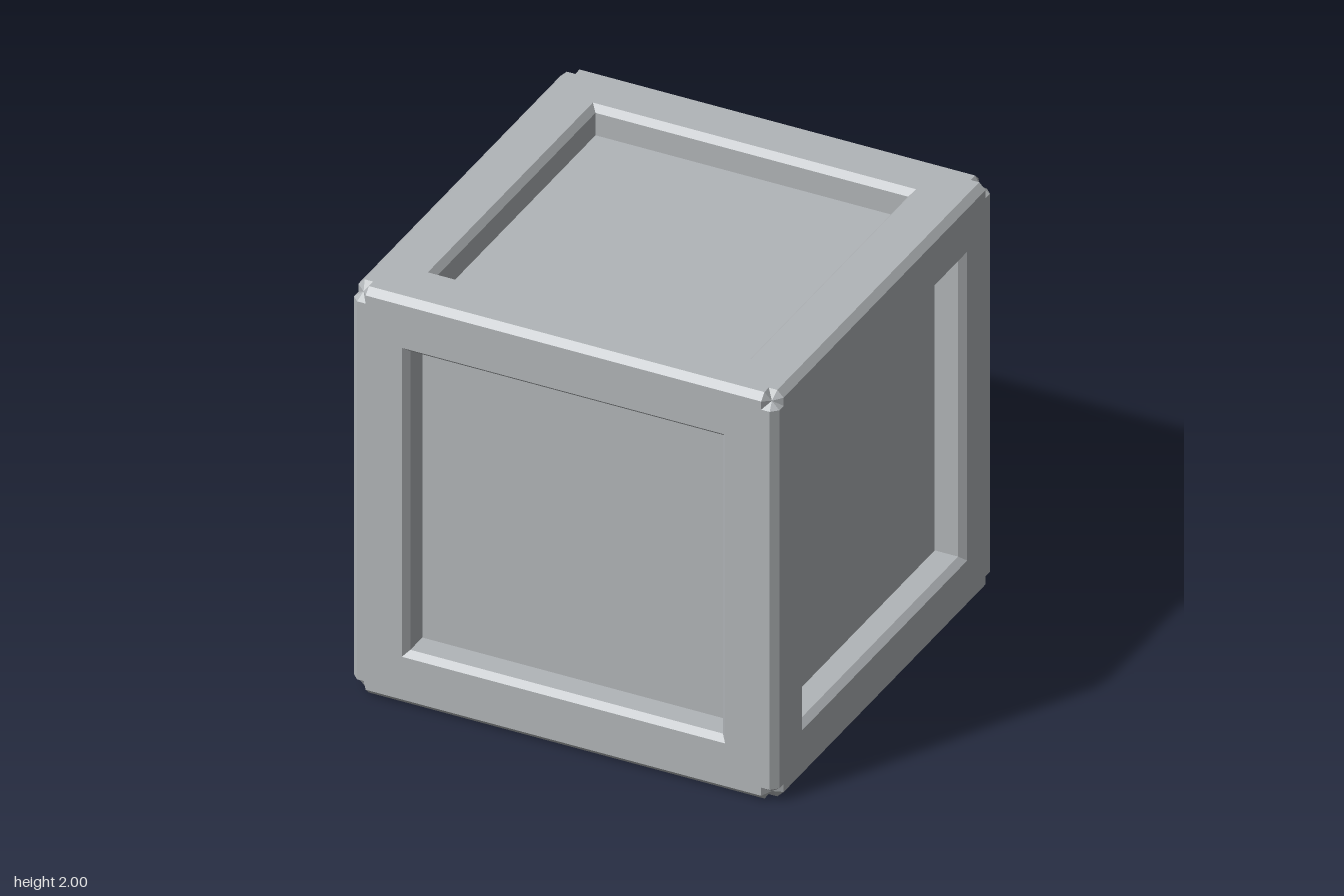
import * as THREE from 'three';

const E = 0.97;   // where the flat face ends and the edge chamfer starts
const K = 0.93;   // where the corner notch starts
const PIT = 0.96; // deepest point of a corner notch
const steel = new THREE.MeshStandardMaterial({ color: 0xb1b5b8 });
steel.name = 'grey';

function mesh(name, geometry) {
  const m = new THREE.Mesh(geometry, steel);
  m.name = name;
  return m;
}

// Flat-shaded mesh from triangles given as point triples
function facets(name, triangles) {
  const g = new THREE.BufferGeometry();
  g.setAttribute('position', new THREE.Float32BufferAttribute(triangles.flat(2), 3));
  g.computeVertexNormals();
  return mesh(name, g);
}

// Turn a triangle so that it faces away from the cube's centre
function outward([a, b, c]) {
  const [p, q, r] = [a, b, c].map((v) => new THREE.Vector3(...v));
  const n = q.clone().sub(p).cross(r.clone().sub(p));
  return n.dot(p) >= 0 ? [a, b, c] : [a, c, b];
}

// Square ring between two half-sizes at two depths, facing the opening
function ring(name, s0, z0, s1, z1) {
  const corner = (i, s, z) => {
    const a = Math.PI / 4 + (i * Math.PI) / 2;
    return [Math.SQRT2 * s * Math.cos(a), Math.SQRT2 * s * Math.sin(a), z];
  };
  const tris = [];
  for (let i = 0; i < 4; i++) {
    const a = corner(i, s0, z0), b = corner(i + 1, s0, z0);
    const c = corner(i + 1, s1, z1), d = corner(i, s1, z1);
    tris.push([a, b, c], [a, c, d]);
  }
  return facets(name, tris);
}

// One side: frame with notched corners, bevelled opening and sunken panel
function makeSide() {
  const side = new THREE.Group();
  const outline = [];
  for (const [sx, sy] of [[1, 1], [-1, 1], [-1, -1], [1, -1]]) {
    const pts = [[E, K], [K, K], [K, E]].map(([x, y]) => new THREE.Vector2(x * sx, y * sy));
    outline.push(...(sx * sy > 0 ? pts : pts.reverse()));
  }
  const shape = new THREE.Shape(outline);
  const h = 0.76;
  shape.holes.push(new THREE.Path([[-h, -h], [-h, h], [h, h], [h, -h]].map((p) => new THREE.Vector2(...p))));
  const frame = mesh('frame', new THREE.ShapeGeometry(shape));
  frame.position.z = 1;
  const panel = mesh('sunkenPanel', new THREE.PlaneGeometry(1.47, 1.47));
  panel.position.z = 0.86;
  side.add(frame, panel, ring('openingBevel', h, 1, 0.735, E), ring('openingWall', 0.735, E, 0.735, 0.86));
  return side;
}

export function createModel() {
  const model = new THREE.Group();
  model.name = 'crate';
  const body = new THREE.Group();
  body.name = 'crateBody';
  body.position.y = 1;
  model.add(body);

  // Six identical sides
  const turns = {
    frontSide: [0, 0], leftSide: [0, 1], backSide: [0, 2], rightSide: [0, 3], topSide: [-1, 0], bottomSide: [1, 0],
  };
  for (const [name, [rx, ry]] of Object.entries(turns)) {
    const side = makeSide();
    side.name = name;
    side.rotation.set((rx * Math.PI) / 2, (ry * Math.PI) / 2, 0);
    body.add(side);
  }

  const edges = [];
  const corners = [];
  for (let axis = 0; axis < 3; axis++) {
    // Cycle coordinates so each rule serves all three axes
    const at = (u, v, w) => {
      const p = [0, 0, 0];
      p[axis] = u;
      p[(axis + 1) % 3] = v;
      p[(axis + 2) % 3] = w;
      return p;
    };
    for (const sv of [1, -1]) for (const sw of [1, -1]) {
      // Chamfer strip along this axis
      const a = at(-K, E * sv, sw), b = at(K, E * sv, sw);
      const c = at(K, sv, E * sw), d = at(-K, sv, E * sw);
      edges.push(outward([a, b, c]), outward([a, c, d]));

      // Notch facets at both ends: the strip's end and the two in the face
      for (const su of [1, -1]) {
        const pit = at(PIT * su, PIT * sv, PIT * sw);
        const inner = at(su, K * sv, K * sw);
        corners.push(
          outward([at(K * su, E * sv, sw), at(K * su, sv, E * sw), pit]),
          outward([inner, at(su, E * sv, K * sw), pit]),
          outward([inner, at(su, K * sv, E * sw), pit]),
        );
      }
    }
  }
  body.add(facets('edgeChamfers', edges), facets('cornerNotches', corners));
  return model;
}
